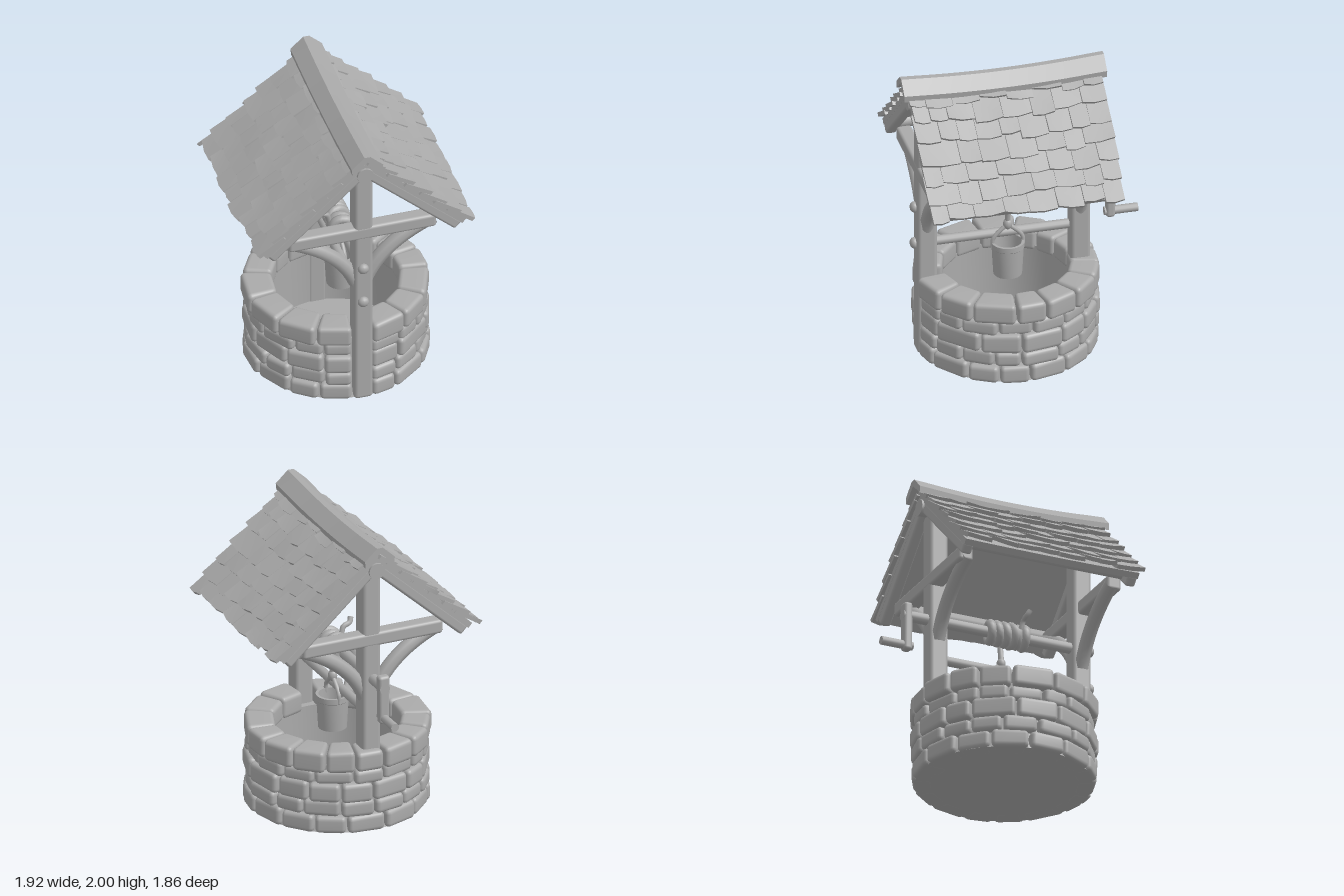
import * as THREE from 'three';
import { mergeGeometries, mergeVertices, toCreasedNormals } from 'three/addons/utils/BufferGeometryUtils.js';
import { RoundedBoxGeometry } from 'three/addons/geometries/RoundedBoxGeometry.js';

export function createModel() {
  const grey = new THREE.MeshStandardMaterial({ color: 0xaaaaaa });
  grey.name = 'plain grey';
  const model = new THREE.Group();
  model.name = 'wishingWell';
  // the whole well stands turned about the vertical axis
  const well = new THREE.Group();
  well.name = 'turnedWell';
  well.rotation.y = THREE.MathUtils.degToRad(35.2);
  model.add(well);

  let seed = 7;
  const rand = (a, b) => {
    seed = (seed * 16807) % 2147483647;
    return a + (b - a) * (seed / 2147483647);
  };
  const add = (name, geo, x = 0, y = 0, z = 0) => {
    const m = new THREE.Mesh(geo, grey);
    m.name = name;
    m.position.set(x, y, z);
    well.add(m);
    return m;
  };
  const warp = (geo, rule) => {
    const p = geo.attributes.position, v = new THREE.Vector3();
    for (let i = 0; i < p.count; i++) {
      rule(v.fromBufferAttribute(p, i));
      p.setXYZ(i, v.x, v.y, v.z);
    }
    return geo;
  };
  const smooth = (geo) => {
    geo.deleteAttribute('normal');
    geo.deleteAttribute('uv');
    const g = mergeVertices(geo, 1e-4);
    g.computeVertexNormals();
    return g;
  };
  const block = (w, h, d, r = 0.018) => new RoundedBoxGeometry(w, h, d, 2, r);
  const rodZ = (r, z0, z1, sides = 12) =>
    new THREE.CylinderGeometry(r, r, z1 - z0, sides).rotateX(Math.PI / 2).translate(0, 0, (z0 + z1) / 2);

  // ---- stone wall: a plain core faced with rows of rounded stones
  const wallZ = -0.025;
  const core = [[0, 0.003], [0.565, 0.003], [0.54, 0.06], [0.54, 0.46], [0.42, 0.46], [0.42, 0.05], [0, 0.05]];
  add('wallCore', toCreasedNormals(new THREE.LatheGeometry(core.map(([r, y]) => new THREE.Vector2(r, y)), 48), 0.6), 0, 0, wallZ);

  const stoneRow = (name, y0, y1, inner, outer, count, gap, loose) => {
    const weights = Array.from({ length: count }, () => rand(1 - loose, 1 + loose));
    const total = weights.reduce((a, b) => a + b, 0);
    const stones = [];
    let angle = gap; // leave room for the front post
    for (const w of weights) {
      const span = (w / total) * (2 * Math.PI - 2 * gap);
      const mid = angle + span / 2;
      const out = outer + rand(-0.012, 0.008);
      const top = y1 + rand(-0.01, 0.004);
      const lean = rand(-0.025, 0.025);
      const g = block(span * outer - 0.008, top - y0, out - inner, 0.032);
      warp(g, (p) => {
        const a = mid + p.x / outer, r = (inner + out) / 2 + p.z;
        const y = (y0 + top) / 2 + p.y + (p.y > 0 ? lean * p.x : 0);
        p.set(r * Math.sin(a), y, r * Math.cos(a));
      });
      stones.push(smooth(g));
      angle += span;
    }
    add(name, mergeGeometries(stones), 0, 0, wallZ);
  };
  stoneRow('stoneRow', 0.0, 0.125, 0.45, 0.595, 15, 0.11, 0.25);
  stoneRow('stoneRow', 0.115, 0.225, 0.45, 0.59, 16, 0.11, 0.3);
  stoneRow('stoneRow', 0.215, 0.35, 0.45, 0.595, 14, 0.11, 0.3);
  stoneRow('stoneRow', 0.335, 0.44, 0.45, 0.582, 16, 0.11, 0.3);
  stoneRow('rimStones', 0.425, 0.57, 0.405, 0.6, 15, 0.11, 0.2);

  // ---- timber frame: posts, tie beams and curved braces at both ends
  for (const s of [1, -1]) {
    const end = s > 0 ? 'front' : 'back';
    add(end + 'Post', block(0.125, 1.82, 0.13, 0.025), 0.008, 0.91, s * 0.503);
    add(end + 'TieBeam', block(0.98, 0.095, 0.1, 0.02), 0, 1.318, s * 0.52);
    for (const side of [1, -1]) {
      const curve = new THREE.QuadraticBezierCurve3(
        new THREE.Vector3(side * 0.03, 0.9, 0),
        new THREE.Vector3(side * 0.13, 1.17, 0),
        new THREE.Vector3(side * 0.49, 1.31, 0));
      add(end + 'Brace', new THREE.TubeGeometry(curve, 12, 0.048, 8), 0, 0, s * 0.503);
    }
  }
  add('ridgePole', rodZ(0.055, -0.625, 0.625), 0, 1.82, 0);
  for (const side of [1, -1]) add('purlin', rodZ(0.045, -0.58, 0.58, 8), side * 0.55, 1.365, 0);

  // ---- roof: each slope is a deck, two rafters and overlapping shingles
  const slope = Math.atan2(0.625, 0.69), length = 0.931;
  const sag = (p) => {
    p.y -= 0.028 * Math.max(0, 1 - (p.z / 0.64) ** 2) * Math.max(0, 1 - 0.8 * Math.abs(p.x) / 0.72);
  };
  const onSlope = (geo, side) => {
    geo.rotateZ(-slope).translate(0.03, 1.94, 0);
    if (side < 0) geo.rotateY(Math.PI);
    return warp(geo, sag);
  };
  for (const side of [1, -1]) {
    const deck = new THREE.BoxGeometry(length - 0.03, 0.04, 1.22, 4, 1, 10).translate(length / 2 - 0.025, -0.045, 0);
    add('roofDeck', toCreasedNormals(onSlope(deck, side), 0.6));
    for (const s of [1, -1]) {
      const rafter = block(0.9, 0.075, 0.07).translate(0.435, -0.09, s * 0.575);
      add('rafter', onSlope(rafter, side));
    }
    const shingles = [];
    const rows = 7, step = length / rows;
    for (let r = 0; r < rows; r++) {
      let z = -0.63 + rand(-0.01, 0.01);
      while (z < 0.62) {
        let w = rand(0.11, 0.2);
        if (z + w > 0.56) w = 0.63 - z + rand(-0.012, 0.012);
        const low = (r + 1) * step + rand(-0.025, r === rows - 1 ? 0.008 : 0.025);
        const skew = rand(-0.12, 0.12), lift = rand(0, 0.012), twist = rand(-0.08, 0.08);
        const long = Math.min(0.21, low - 0.005);
        const g = new THREE.BoxGeometry(long, 0.028, w - 0.003, 2, 1, 2);
        const zc = z + w / 2;
        warp(g, (p) => {
          const t = p.x / long + 0.5; // 0 at the upper edge, 1 at the lower
          p.y += -0.024 + t * (0.026 + lift) + twist * p.z * t;
          if (t > 0.9) p.x += skew * p.z - 0.01 * (Math.abs(p.z) > 0.3 * w ? 1 : 0);
          p.x += low - long / 2;
          p.z += zc;
        });
        onSlope(g, side);
        shingles.push(g);
        z += w;
      }
    }
    add('shingles', toCreasedNormals(mergeGeometries(shingles), 0.6));
  }

  // ridge cap: a folded board, slightly sagging in the middle
  const cap = new THREE.Shape([[-0.105, 1.915], [-0.02, 1.993], [0.02, 1.993], [0.105, 1.915], [0.1, 1.87], [0, 1.955], [-0.1, 1.87]]
    .map(([x, y]) => new THREE.Vector2(x, y)).reverse());
  const capGeo = new THREE.ExtrudeGeometry(cap, { depth: 1.33, steps: 14, bevelEnabled: false }).translate(0, 0, -0.665);
  warp(capGeo, (p) => { p.y += 0.007; sag(p); });
  add('ridgeCap', toCreasedNormals(capGeo, 0.5));

  // ---- winch: axle, lower rail, pegs, crank
  add('axle', rodZ(0.036, -0.74, 0.57), 0, 1.045, 0);
  add('lowerRail', rodZ(0.031, -0.5, 0.57), 0, 0.782, 0);
  for (const y of [1.045, 0.782]) {
    add('peg', new THREE.SphereGeometry(0.037, 12, 8).scale(1, 1, 0.8), 0, y, 0.575);
  }
  const arm = warp(block(0.08, 0.33, 0.06, 0.02), (p) => { p.x *= 0.9 + 0.5 * p.y; });
  add('crankArm', arm, 0, 0.965, -0.71);
  add('crankHandle', rodZ(0.028, -0.89, -0.67), 0, 0.838, 0);

  // ---- rope: coils on the axle, loose tip and hanging line
  for (let i = 0; i < 6; i++) {
    const coil = new THREE.TorusGeometry(rand(0.053, 0.062), 0.03, 8, 20);
    const m = add('ropeCoil', coil, 0, 1.045, -0.125 + i * 0.047);
    m.rotation.x = rand(-0.2, 0.2);
    m.rotation.y = rand(-0.25, 0.25);
  }
  const rope = (name, pts, r) =>
    add(name, new THREE.TubeGeometry(new THREE.CatmullRomCurve3(pts.map((p) => new THREE.Vector3(...p))), 16, r, 8));
  rope('ropeTip', [[-0.07, 1.07, 0.06], [-0.09, 1.13, 0.07], [-0.135, 1.15, 0.075], [-0.15, 1.18, 0.09]], 0.018);
  rope('hangingRope', [[0.05, 1.03, -0.03], [0.045, 0.97, -0.03], [0.035, 0.9, -0.03], [0.03, 0.84, -0.03]], 0.019);
  add('ropeKnot', new THREE.SphereGeometry(0.03, 12, 8).scale(1, 1.3, 1), 0.033, 0.855, -0.03);

  // ---- bucket with bail handle
  const pail = [[0, 0.5], [0.092, 0.5], [0.098, 0.6], [0.103, 0.69], [0.108, 0.695], [0.108, 0.73], [0.09, 0.73], [0.082, 0.53], [0, 0.53]];
  add('bucket', toCreasedNormals(new THREE.LatheGeometry(pail.map(([r, y]) => new THREE.Vector2(r, y)), 24), 0.6), 0.034, 0, -0.03);
  rope('bucketHandle', [[0.034, 0.7, -0.13], [0.034, 0.76, -0.125], [0.034, 0.82, -0.07], [0.034, 0.845, -0.03],
    [0.034, 0.82, 0.01], [0.034, 0.76, 0.065], [0.034, 0.7, 0.07]], 0.014);

  return model;
}
